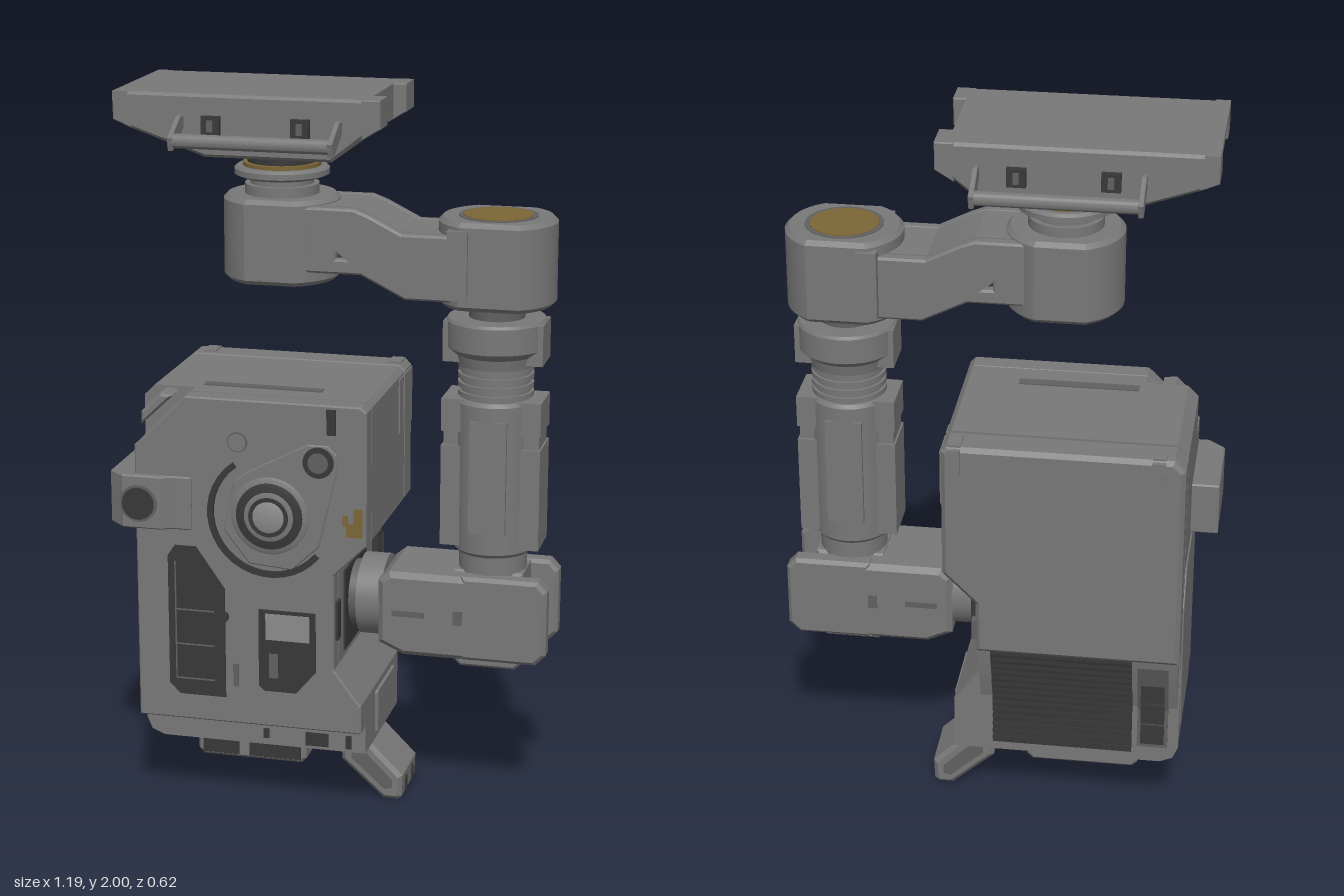
import * as THREE from 'three';
import { toCreasedNormals } from 'three/addons/utils/BufferGeometryUtils.js';

const mat = (name, color) => {
  const m = new THREE.MeshStandardMaterial({ color });
  m.name = name;
  return m;
};

export function createModel() {
  const root = new THREE.Group();
  root.name = 'stabilizedCamera';
  const grey = mat('bodyGrey', 0x787878);
  const mid = mat('trimGrey', 0x606060);
  const dark = mat('darkGrey', 0x383838);
  const gold = mat('gold', 0x7c6636);
  const glass = mat('lensGrey', 0x8c8c8c);

  const add = (name, geo, m) => {
    const mesh = new THREE.Mesh(geo, m);
    mesh.name = name;
    root.add(mesh);
    return mesh;
  };
  // box given by its minimum and maximum on each axis
  const box = (name, m, x0, x1, y0, y1, z0, z1) =>
    add(name, new THREE.BoxGeometry(x1 - x0, y1 - y0, z1 - z0)
      .translate((x0 + x1) / 2, (y0 + y1) / 2, (z0 + z1) / 2), m);
  const vecs = pts => pts.map(p => new THREE.Vector2(p[0], p[1]));
  const rect = (a, b, c, d) => [[a, c], [b, c], [b, d], [a, d]];
  // outline extruded from a to b: axis z uses (x,y), axis x uses (z,y), axis y uses (x,z)
  const prism = (name, m, pts, a, b, axis = 'z', bevel = 0.008, hole = null) => {
    const shape = new THREE.Shape(vecs(pts));
    if (hole) shape.holes.push(new THREE.Path(vecs(hole)));
    const t = Math.min(bevel, (b - a) / 3);
    const g = new THREE.ExtrudeGeometry(shape, {
      depth: b - a - 2 * t, bevelEnabled: t > 0, bevelThickness: t,
      bevelSize: t, bevelOffset: -t, bevelSegments: 1,
    });
    g.translate(0, 0, (axis === 'z' ? a : -b) + t);
    if (axis === 'x') g.rotateY(-Math.PI / 2);
    if (axis === 'y') g.rotateX(Math.PI / 2);
    return add(name, toCreasedNormals(g, 0.3), m);
  };
  // turned part from a [radius, height] profile, along y, z or x
  const turned = (name, m, prof, x, y, z, axis = 'y') => {
    const pts = [[0, prof[0][1]], ...prof, [0, prof[prof.length - 1][1]]];
    let g = new THREE.LatheGeometry(vecs(pts), 48);
    if (axis === 'z') g.rotateX(Math.PI / 2);
    if (axis === 'x') g.rotateZ(-Math.PI / 2);
    g = toCreasedNormals(g, 0.5);
    return add(name, g.translate(x, y, z), m);
  };
  const disc = (name, m, r, h0, h1, x, y, z, axis) => turned(name, m, [[r, h0], [r, h1]], x, y, z, axis);
  // round motor housing with flat front and back
  const motor = (name, r, flat, y0, y1, x, z) => {
    const half = Math.asin(flat / r);
    const pts = [];
    for (const s of [0, Math.PI])
      for (let i = 0; i <= 24; i++) {
        const a = s + half * (i / 12 - 1);
        pts.push([x + r * Math.cos(a), z + r * Math.sin(a)]);
      }
    prism(name, grey, pts, y0, y1, 'y', 0.012);
  };

  // ---- mounting plate ----
  prism('mountPlate', grey, [[-0.54, 2], [0.115, 2], [0.115, 1.91], [0.02, 1.835], [-0.32, 1.835], [-0.54, 1.91]], -0.195, 0.205);
  box('mountPlateTop', grey, -0.57, -0.53, 1.975, 2, -0.195, 0.205);
  for (const [a, b] of [[-0.195, -0.1], [0.12, 0.205]]) {
    prism('mountPlateLip', grey, [[0.1, 2], [0.15, 2], [0.15, 1.925], [0.1, 1.895]], a, b, 'z', 0.003);
    prism('mountPlateLip', grey, [[-0.57, 1.985], [-0.52, 1.985], [-0.52, 1.905], [-0.57, 1.925]], a, b, 'z', 0.003);
  }
  for (const s of [-1, 1]) {
    const z = v => 0.005 + s * v;
    for (const x of [-0.39, 0.035])
      prism('handleArm', grey, [[z(0.19), 1.945], [z(0.225), 1.945], [z(0.305), 1.9], [z(0.295), 1.865], [z(0.265), 1.87], [z(0.19), 1.915]], x, x + 0.014, 'x', 0.002);
    disc('handleBar', grey, 0.019, -0.215, 0.215, -0.17, 1.89, z(0.283), 'x');
    for (const x of [-0.3, -0.06]) {
      const c = z(0.203);
      box('latch', dark, x - 0.025, x + 0.025, 1.895, 1.945, c - 0.012, c + 0.012);
      box('latchCatch', mid, x - 0.008, x + 0.008, 1.905, 1.935, c - 0.017, c + 0.017);
    }
  }

  // ---- upper neck and first motor ----
  const RX = -0.165, CZ = 0.005;
  disc('neckRing', dark, 0.13, 1.82, 1.84, RX, 0, CZ);
  disc('neckBand', dark, 0.092, 1.8, 1.825, RX, 0, CZ);
  disc('neckGoldRing', gold, 0.105, 1.79, 1.8, RX, 0, CZ);
  turned('neckFlange', grey, [[0.11, 1.76], [0.128, 1.768], [0.128, 1.783], [0.12, 1.79]], RX, 0, CZ);
  disc('neckCollar', grey, 0.085, 1.735, 1.765, RX, 0, CZ);
  disc('neckStem', grey, 0.1, 1.7, 1.742, RX, 0, CZ);
  motor('upperMotor', 0.157, 0.142, 1.486, 1.715, RX, CZ);
  disc('upperMotorRim', mid, 0.105, 1.4855, 1.49, RX, 0, CZ);
  disc('upperMotorCap', gold, 0.092, 1.4845, 1.49, RX, 0, CZ);

  // ---- linking arm with a recessed window on each face ----
  const arm = [[-0.12, 1.7], [0.06, 1.7], [0.1, 1.685], [0.19, 1.64], [0.34, 1.64], [0.34, 1.465], [0.2, 1.465], [0.08, 1.525], [-0.12, 1.525]];
  prism('linkArm', grey, arm, -0.085, 0.095, 'z', 0);
  for (const [a, b, w] of [[-0.12, -0.085, -0.093], [0.095, 0.13, 0.095]]) {
    prism('linkArmShell', grey, arm, a, b, 'z', 0.006, rect(0.012, 0.062, 1.565, 1.685));
    box('armWindowFrame', dark, 0.012, 0.062, 1.565, 1.685, w, w + 0.008);
    box('armWindow', gold, 0.02, 0.056, 1.585, 1.675, w - 0.003, w + 0.011);
  }

  // ---- second motor and column ----
  const PX = 0.425;
  motor('sideMotor', 0.158, 0.136, 1.445, 1.68, PX, CZ);
  disc('sideMotorRim', mid, 0.105, 1.67, 1.682, PX, 0, CZ);
  disc('sideMotorCap', gold, 0.092, 1.67, 1.684, PX, 0, CZ);
  for (const z of [-0.142, 0.122]) box('motorLug', grey, 0.315, 0.37, 1.475, 1.66, z, z + 0.03);
  disc('columnGap', mid, 0.075, 1.4, 1.45, PX, 0, CZ);
  turned('columnHead', grey, [[0.105, 1.28], [0.112, 1.31], [0.135, 1.33], [0.135, 1.4], [0.13, 1.408]], PX, 0, CZ);
  for (const x of [0.29, 0.51]) box('columnHeadCheek', grey, x, x + 0.05, 1.29, 1.4, -0.055, 0.065);
  disc('columnNeck', grey, 0.094, 1.18, 1.29, PX, 0, CZ);
  for (let i = 0; i < 4; i++) disc('columnRib', grey, 0.102, 1.195 + i * 0.024, 1.209 + i * 0.024, PX, 0, CZ);
  turned('columnTube', grey, [[0.1, 0.76], [0.108, 0.77], [0.108, 1.18], [0.1, 1.19]], PX, 0, CZ);
  for (const s of [-1, 1]) {
    const c = PX + s * 0.105;
    box('columnRail', grey, c - 0.03, c + 0.03, 0.78, 1.06, -0.065, 0.075);
    box('columnRailTop', grey, c - 0.03, c + 0.03, 1.1, 1.19, -0.065, 0.075);
    box('columnRailInset', grey, c - 0.025, c + 0.025, 1.05, 1.11, -0.055, 0.065);
    box('columnPanel', grey, PX - 0.05, PX + 0.05, 0.83, 1.14, CZ + s * 0.095 - 0.013, CZ + s * 0.095 + 0.013);
  }
  disc('columnFoot', grey, 0.093, 0.69, 0.77, PX, 0, CZ);

  // ---- elbow with forked end ----
  prism('elbow', grey, [[0.13, 0.68], [0.16, 0.705], [0.42, 0.705], [0.42, 0.468], [0.2, 0.468], [0.13, 0.5]], -0.12, 0.13, 'z', 0.015);
  for (const [a, b] of [[-0.12, -0.065], [0.075, 0.13]])
    prism('elbowFork', grey, [[0.36, 0.708], [0.57, 0.708], [0.595, 0.68], [0.595, 0.5], [0.565, 0.47], [0.36, 0.47]], a, b, 'z', 0.01);
  prism('elbowCore', grey, [[0.33, 0.71], [0.52, 0.71], [0.52, 0.45], [0.5, 0.432], [0.35, 0.432], [0.33, 0.45]], -0.065, 0.075);
  for (const z of [-0.123, 0.127]) {
    box('elbowSlot', mid, 0.17, 0.26, 0.582, 0.598, z, z + 0.006);
    box('elbowMark', mid, 0.34, 0.365, 0.57, 0.61, z, z + 0.006);
  }
  disc('tiltMotor', grey, 0.113, 0.065, 0.135, 0, 0.6, CZ, 'x');
  disc('tiltMotorNeck', mid, 0.092, 0.03, 0.07, 0, 0.6, CZ, 'x');

  // ---- camera body in layers along z ----
  const right = [[0.11, 1.195], [0.125, 1.18], [0.125, 0.81], [0.035, 0.72], [0.035, 0.45], [0.11, 0.35]];
  const bottom = [[0.11, 0.19], [-0.47, 0.19], [-0.505, 0.205], [-0.52, 0.24]];
  const small = [[-0.52, 1.165], [-0.49, 1.195]];
  const cut = [[-0.52, 1.05], [-0.375, 1.195]];
  prism('bodyCore', grey, [...right, ...bottom, ...small], -0.21, 0.14, 'z', 0);
  prism('bodyFrontBase', grey, [...right, ...bottom, ...cut], 0.14, 0.18, 'z', 0);
  prism('bodyFront', grey, [...right, [0.11, 0.27], [-0.52, 0.27], ...cut], 0.18, 0.24, 'z', 0.004);
  prism('bodyBack', grey, [...right.slice(0, 4), [0.035, 0.57], [-0.52, 0.57], ...small], -0.31, -0.21, 'z', 0.012);
  prism('bodyBackSlope', grey, [[-0.2, 0.58], [-0.27, 0.58], [-0.27, 0.56], [-0.212, 0.37], [-0.2, 0.37]], -0.515, 0.035, 'x', 0);
  prism('cornerStub', grey, [[-0.51, 1.1], [-0.42, 1.185], [-0.455, 1.19], [-0.51, 1.135]], 0.13, 0.21);
  box('topSlot', mid, -0.36, -0.03, 1.19, 1.198, 0.085, 0.115);

  // rear vent with horizontal fins, and the port bay beside it
  prism('rearVent', dark, [[-0.2, 0.57], [-0.275, 0.57], [-0.218, 0.365], [-0.218, 0.22], [-0.2, 0.22]], -0.39, 0.0, 'x', 0);
  for (let i = 0; i < 14; i++) {
    const y = 0.235 + i * 0.024;
    const z = -0.218 - Math.max(0, y - 0.365) * 0.278;
    box('ventFin', dark, -0.39, 0, y - 0.005, y + 0.005, z - 0.003, z + 0.01);
  }
  prism('portBay', mid, [[-0.2, 0.53], [-0.268, 0.53], [-0.216, 0.365], [-0.216, 0.24], [-0.2, 0.24]], -0.49, -0.405, 'x', 0);
  for (let i = 0; i < 3; i++) box('rearPort', dark, -0.48, -0.415, 0.255 + i * 0.075, 0.315 + i * 0.075, -0.224 - i * 0.011, -0.2);
  for (const x of [-0.45, 0.09]) {
    box('rearClip', grey, x - 0.018, x + 0.018, 1.12, 1.19, -0.315, -0.3);
    box('rearClipTop', grey, x - 0.018, x + 0.018, 1.185, 1.199, -0.3, -0.24);
  }

  // side panels and ports
  prism('rightSidePanel', grey, [[-0.18, 0.3], [0.12, 0.3], [0.15, 0.36], [0.15, 0.7], [0.08, 0.8], [-0.16, 0.8], [-0.22, 0.7], [-0.22, 0.55]], -0.524, -0.518, 'x', 0.002);
  for (const [a, b] of [[-0.295, -0.2], [-0.185, -0.14]])
    box('leftSidePanel', grey, 0.12, 0.129, 1.02, 1.175, a, b);
  box('tiltSocket', dark, 0.03, 0.04, 0.47, 0.7, -0.12, 0.13);
  box('sidePort', dark, 0.03, 0.042, 0.53, 0.64, 0.185, 0.22);
  prism('sideGoldFrame', dark, rect(-0.25, -0.207, 0.575, 0.7), 0.03, 0.055, 'x', 0, rect(-0.241, -0.218, 0.588, 0.69));
  box('sideGold', gold, 0.03, 0.038, 0.588, 0.69, -0.241, -0.218);
  box('sideTab', mid, 0.03, 0.045, 0.61, 0.67, -0.308, -0.285);

  // ---- lens and front controls ----
  const F = 0.24, LX = -0.14, LY = 0.88;
  prism('lensPlate', grey, [[-0.24, 0.97], [-0.2, 1.0], [-0.035, 1.085], [0.02, 1.085], [0.045, 1.06], [0.045, 1.01], [-0.005, 0.8], [-0.08, 0.73], [-0.2, 0.74], [-0.27, 0.83]], F - 0.01, F + 0.005, 'z', 0.003);
  const arc = [];
  for (const [r, dir] of [[0.158, 1], [0.175, -1]])
    for (let i = 0; i <= 20; i++) {
      const a = 3.9 + dir * 1.7 * (i / 10 - 1);
      arc.push([LX + r * Math.cos(a), LY + r * Math.sin(a)]);
    }
  prism('lensArc', dark, arc, F, F + 0.008, 'z', 0);
  turned('lensBarrel', grey, [[0.108, 0], [0.108, 0.008], [0.1, 0.012]], LX, LY, F, 'z');
  turned('lensRing', dark, [[0.092, 0], [0.092, 0.014], [0.08, 0.017]], LX, LY, F, 'z');
  turned('lensInnerRing', grey, [[0.068, 0], [0.068, 0.02], [0.06, 0.022]], LX, LY, F, 'z');
  disc('lensGap', dark, 0.055, 0, 0.0235, LX, LY, F, 'z');
  turned('lensGlass', glass, [[0.045, 0.02], [0.043, 0.025], [0.03, 0.029]], LX, LY, F, 'z');
  disc('frontKnob', dark, 0.042, 0, 0.012, -0.005, 1.038, F, 'z');
  disc('frontKnobCap', mid, 0.028, 0, 0.014, -0.005, 1.038, F, 'z');
  disc('roundButton', mid, 0.028, 0, 0.004, -0.23, 1.078, F, 'z');
  disc('roundButtonCap', grey, 0.024, 0, 0.006, -0.23, 1.078, F, 'z');
  box('topClip', dark, 0.017, 0.042, 1.115, 1.185, F, F + 0.006);
  for (const [a, b, c, d] of [[0.07, 0.115, 0.835, 0.872], [0.09, 0.115, 0.872, 0.915], [0.06, 0.075, 0.865, 0.895]])
    box('goldContact', gold, a, b, c, d, F - 0.004, F + 0.003);

  // control panel on the left of the front
  prism('controlPanel', dark, [[-0.43, 0.745], [-0.41, 0.775], [-0.35, 0.775], [-0.27, 0.66], [-0.27, 0.345], [-0.4, 0.345], [-0.43, 0.375]], F - 0.004, F + 0.004, 'z', 0);
  for (let i = 0; i < 3; i++) box('panelKey', mid, -0.41, -0.3, 0.39 + i * 0.1, 0.394 + i * 0.1, F, F + 0.006);
  box('panelRib', mid, -0.411, -0.407, 0.39, 0.73, F, F + 0.006);
  disc('smallKnob', dark, 0.016, 0, 0.01, -0.275, 0.58, F, 'z');
  prism('screenPanel', dark, [[-0.175, 0.61], [-0.015, 0.61], [-0.015, 0.44], [-0.07, 0.375], [-0.16, 0.375], [-0.175, 0.39]], F - 0.004, F + 0.004, 'z', 0);
  box('screen', glass, -0.155, -0.032, 0.525, 0.6, F, F + 0.006);
  box('screenButton', mid, -0.145, -0.12, 0.415, 0.485, F, F + 0.007);
  box('frontSlot', mid, -0.248, -0.233, 0.38, 0.445, F, F + 0.004);
  for (const [a, b, c] of [[-0.18, -0.165, 0.21], [-0.06, 0.005, 0.2], [0.055, 0.07, 0.2]])
    box('lowerPort', dark, a, b, c, 0.238, 0.176, 0.185);

  // ---- finder dial box on the right side ----
  prism('sideBox', grey, [[-0.595, -0.01], [-0.595, 0.22], [-0.55, 0.26], [-0.44, 0.26], [-0.42, 0.245], [-0.36, 0.245], [-0.36, -0.01]], 0.82, 0.97, 'y', 0.004);
  disc('sideDialRim', mid, 0.052, 0, 0.004, -0.505, 0.892, 0.26, 'z');
  disc('sideDial', dark, 0.045, 0, 0.007, -0.505, 0.892, 0.26, 'z');

  // ---- connector block underneath ----
  prism('lowerConnector', grey, [[-0.4, 0.2], [-0.085, 0.2], [-0.085, 0.115], [-0.1, 0.1], [-0.385, 0.1], [-0.4, 0.115]], -0.12, 0.085);
  for (const [a, b] of [[-0.385, -0.28], [-0.25, -0.1]]) box('connectorInset', dark, a, b, 0.11, 0.165, 0.08, 0.088);
  box('connectorSlot', dark, -0.34, -0.15, 0.097, 0.104, -0.06, 0.02);

  // ---- tilted eyepiece ----
  prism('eyepieceBase', grey, [[0.0, 0.34], [0.118, 0.33], [0.118, 0.21], [0.1, 0.185], [0.0, 0.185]], -0.15, 0.07);
  prism('eyepiece', grey, [[0.01, 0.11], [0.01, 0.16], [0.06, 0.2], [0.185, 0.075], [0.182, 0.012], [0.17, 0.003], [0.13, 0.003]], -0.135, 0.055, 'z', 0.012);
  for (const z of [-0.138, 0.052])
    prism('eyepieceInset', mid, [[0.04, 0.12], [0.04, 0.145], [0.06, 0.16], [0.155, 0.065], [0.155, 0.04], [0.135, 0.035]], z, z + 0.006, 'z', 0);
  for (const z of [-0.08, 0.0]) box('eyepieceGroove', dark, 0.155, 0.188, 0.015, 0.06, z - 0.006, z + 0.006);

  return root;
}
